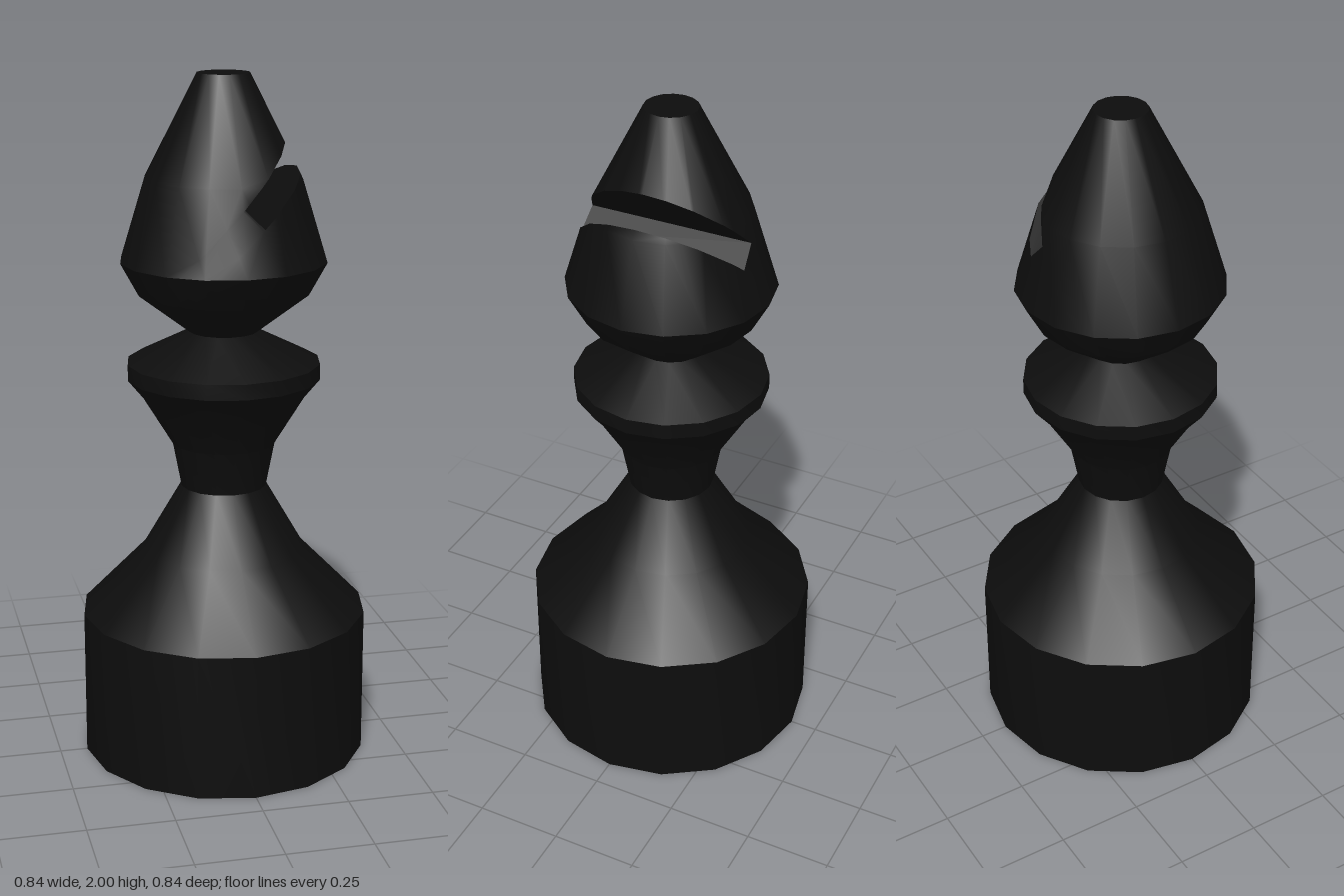
import * as THREE from 'three';
import { toCreasedNormals } from 'three/addons/utils/BufferGeometryUtils.js';

const SIDES = 16;
const CREASE = 0.5;

const lathe = (profile) =>
  new THREE.LatheGeometry(profile.map(([r, y]) => new THREE.Vector2(r, y)), SIDES);

// Part of a convex polygon on one side of a plane (side = 1 front, -1 back)
function clip(poly, plane, side) {
  const out = [];
  poly.forEach((a, i) => {
    const b = poly[(i + 1) % poly.length];
    const da = side * plane.distanceToPoint(a);
    const db = side * plane.distanceToPoint(b);
    if (da >= -1e-7) out.push(a);
    if ((da > 1e-7 && db < -1e-7) || (da < -1e-7 && db > 1e-7)) {
      out.push(a.clone().lerp(b, da / (da - db)));
    }
  });
  return out.length > 2 ? out : [];
}

// Triangles of a geometry as lists of three points, without collapsed ones
function trianglesOf(geometry) {
  const pos = geometry.toNonIndexed().attributes.position;
  const list = [];
  for (let i = 0; i < pos.count; i += 3) {
    const t = [0, 1, 2].map((k) => new THREE.Vector3().fromBufferAttribute(pos, i + k));
    if (new THREE.Triangle(...t).getArea() > 1e-7) list.push(t);
  }
  return list;
}

// Plane parallel to z through two points of the front outline
function slotPlane([x1, y1], [x2, y2]) {
  const normal = new THREE.Vector3(y1 - y2, x2 - x1, 0).normalize();
  return new THREE.Plane().setFromNormalAndCoplanarPoint(normal, new THREE.Vector3(x1, y1, 0));
}

// Convex solid with a slot cut out; slot planes face away from the slot
function cutSlot(geometry, slot) {
  const solid = trianglesOf(geometry);
  const solidPlanes = solid.map((t) => new THREE.Plane().setFromCoplanarPoints(...t));
  const polys = [];

  // Outer skin left around the slot
  for (const triangle of solid) {
    let rest = triangle;
    for (const plane of slot) {
      polys.push(clip(rest, plane, 1));
      rest = clip(rest, plane, -1);
    }
  }

  // Inner walls of the slot
  for (const plane of slot) {
    const u = new THREE.Vector3(0, 0, 1);
    const v = u.clone().cross(plane.normal);
    const centre = plane.projectPoint(new THREE.Vector3(0, 1.65, 0), new THREE.Vector3());
    let wall = [[-1, -1], [1, -1], [1, 1], [-1, 1]].map(([a, b]) =>
      centre.clone().addScaledVector(u, a).addScaledVector(v, b));
    for (const other of slot) if (other !== plane) wall = clip(wall, other, -1);
    for (const other of solidPlanes) wall = clip(wall, other, -1);
    polys.push(wall);
  }

  // Fan each polygon into triangles
  const points = [];
  for (const p of polys) {
    for (let i = 1; i < p.length - 1; i++) {
      const t = [p[0], p[i], p[i + 1]];
      if (new THREE.Triangle(...t).getArea() > 1e-9) points.push(...t);
    }
  }
  return new THREE.BufferGeometry().setFromPoints(points);
}

export function createModel() {
  const group = new THREE.Group();
  group.name = 'chessBishop';

  const black = new THREE.MeshStandardMaterial({ color: 0x0d0d0d });
  black.name = 'black';

  const add = (name, geometry) => {
    const mesh = new THREE.Mesh(toCreasedNormals(geometry, CREASE), black);
    mesh.name = name;
    group.add(mesh);
  };

  // Heavy base with its sloping shoulder, up to the waist
  add('base', lathe([[0, 0], [0.42, 0], [0.42, 0.43], [0.235, 0.62], [0.125, 0.81]]));

  // Flared stem and collar
  add('collar', lathe([
    [0.125, 0.81], [0.15, 0.94], [0.235, 1.08], [0.28, 1.135], [0.28, 1.18], [0.1, 1.27],
  ]));

  // Mitre-shaped head with the slanted notch on its left
  const head = lathe([
    [0, 1.27], [0.1, 1.27], [0.245, 1.38], [0.297, 1.475], [0.225, 1.71], [0.075, 2], [0, 2],
  ]);
  const innerTop = [0.005, 1.655];
  const innerBottom = [0.06, 1.6];
  add('head', cutSlot(head, [
    slotPlane(innerTop, [0.17, 1.82]),
    slotPlane([0.215, 1.738], innerBottom),
    slotPlane(innerBottom, innerTop),
  ]));

  return group;
}
